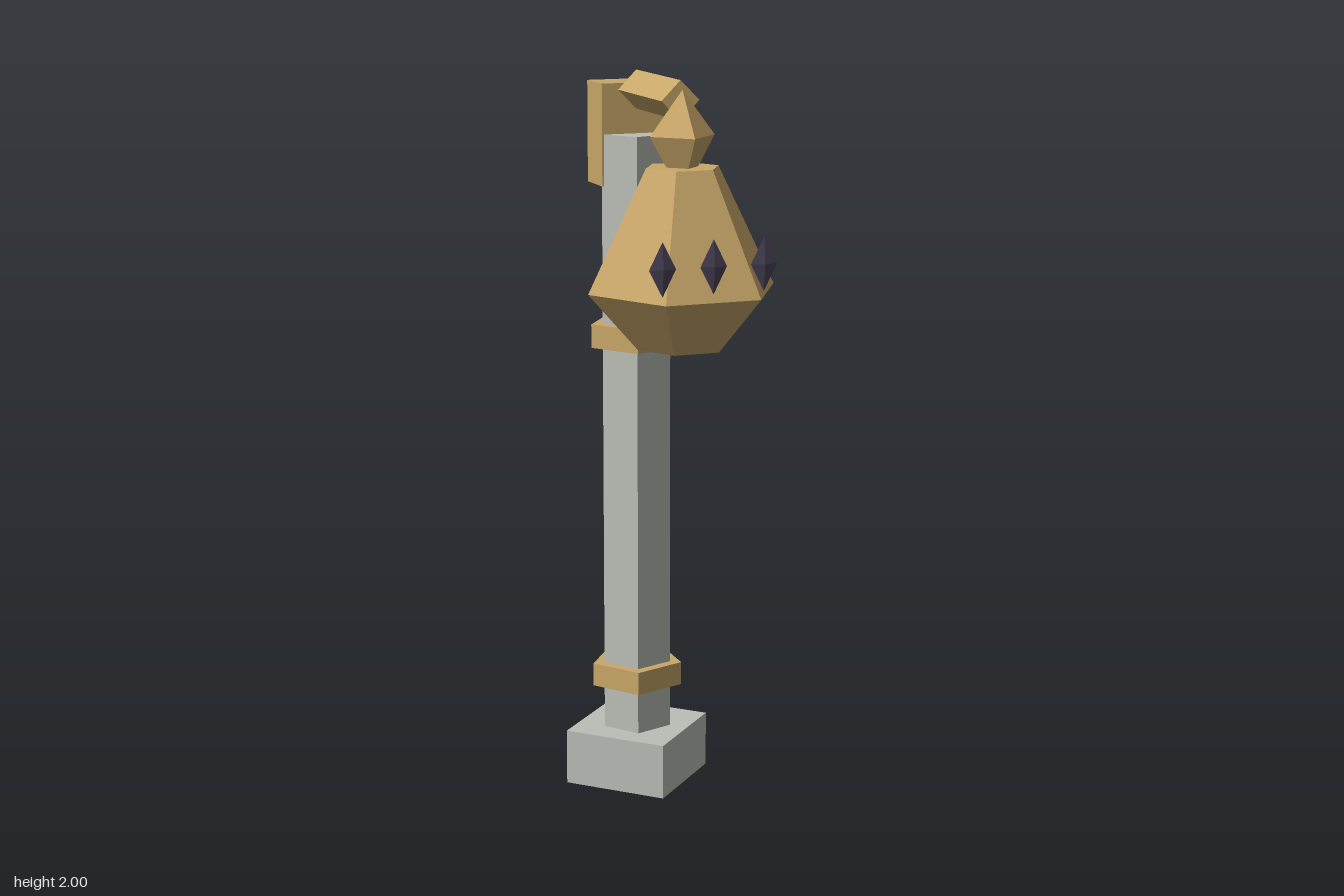
import * as THREE from 'three';

export function createModel() {
  const model = new THREE.Group();
  const paint = (name, color) => {
    const m = new THREE.MeshStandardMaterial({ color, flatShading: true });
    m.name = name;
    return m;
  };
  const stone = paint('grey stone', 0xbbbfb7);
  const brass = paint('warm brass', 0xc9a769);
  const crystal = paint('dark violet', 0x4a4458);

  const add = (name, geometry, material, x, y, z) => {
    const mesh = new THREE.Mesh(geometry, material);
    mesh.name = name;
    mesh.position.set(x, y, z);
    model.add(mesh);
    return mesh;
  };

  // upright faceted prism or frustum between two heights
  const frustum = (name, material, rTop, rBottom, y0, y1, z, sides, turn = 0) => {
    const g = new THREE.CylinderGeometry(rTop, rBottom, y1 - y0, sides).rotateY(turn);
    return add(name, g, material, 0, (y0 + y1) / 2, z);
  };

  const postZ = -0.183;
  const lampZ = 0.166;

  // square plinth and five-sided post
  frustum('base', stone, 0.211, 0.211, 0, 0.155, postZ, 4);
  frustum('post', stone, 0.097, 0.097, 0.155, 1.83, postZ, 5, -Math.PI / 2);

  // bands round the post
  for (const [name, y] of [['lowerBand', 0.28], ['upperBand', 1.25]]) {
    frustum(name, brass, 0.13, 0.13, y, y + 0.065, postZ, 5, -Math.PI / 2);
  }

  // bracket block and the square arm set on edge
  add('bracket', new THREE.BoxGeometry(0.196, 0.275, 0.119), brass, 0, 1.828, -0.2365);
  const arm = new THREE.CylinderGeometry(0.052, 0.052, 0.33, 4).rotateX(Math.PI / 2);
  add('arm', arm, brass, 0, 1.948, -0.013);

  // six-sided lantern body, vertices pointing left and right
  const hexTurn = Math.PI / 2;
  frustum('lanternLower', brass, 0.258, 0.123, 1.31, 1.463, lampZ, 6, hexTurn);
  frustum('lanternUpper', brass, 0.1, 0.258, 1.463, 1.78, lampZ, 6, hexTurn);

  // finial the lantern hangs from
  frustum('finialLower', brass, 0.089, 0.044, 1.78, 1.86, lampZ, 4);
  frustum('finialTip', brass, 0, 0.089, 1.86, 1.977, lampZ, 4);

  // flat crystals across the lantern front
  for (const x of [-0.137, 0, 0.137]) {
    const g = new THREE.OctahedronGeometry(1).scale(0.036, 0.07, 0.008);
    add('crystal', g, crystal, x, 1.555, 0.386);
  }

  return model;
}
